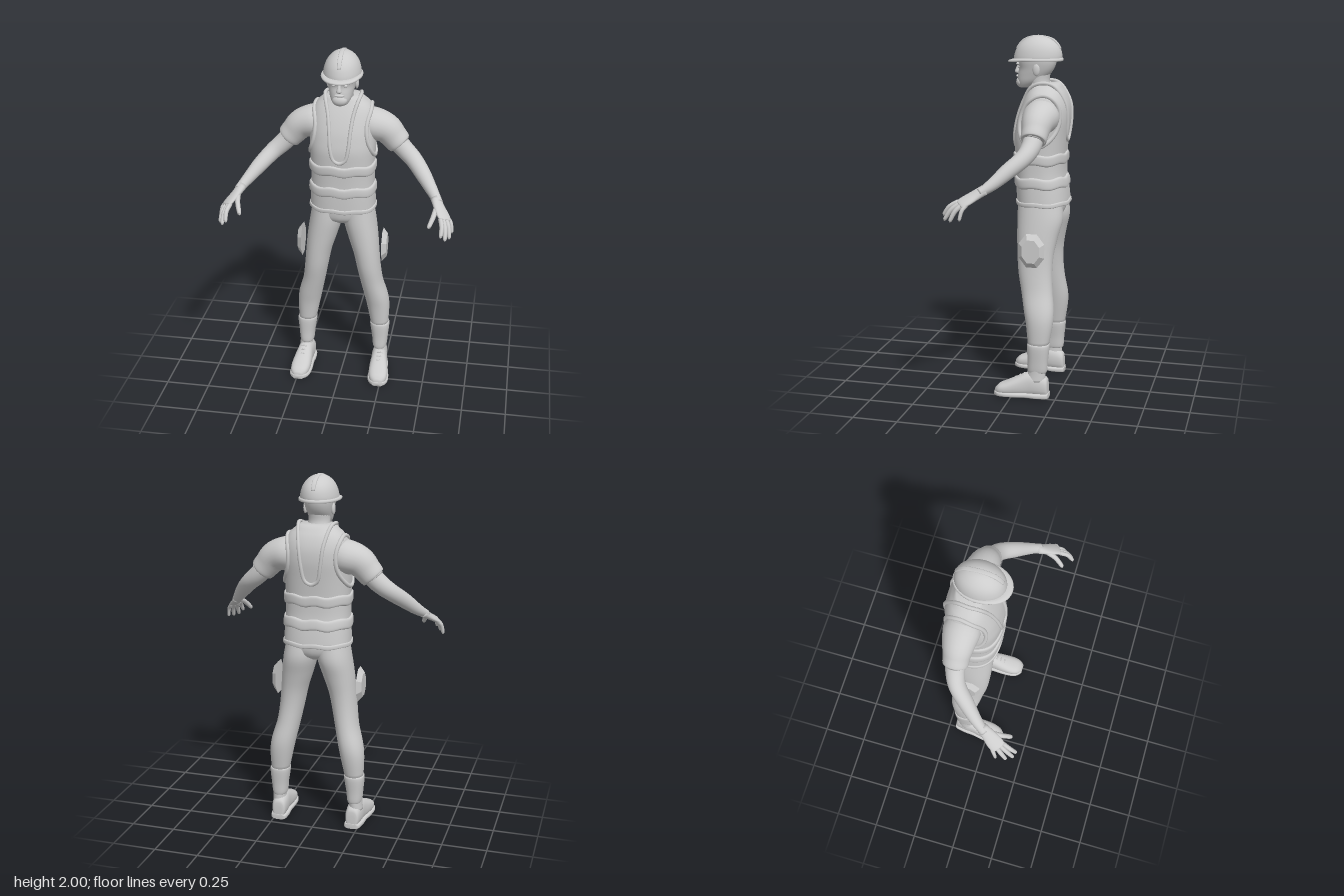
import * as THREE from 'three';

const V = (x, y, z) => new THREE.Vector3(x, y, z);
const UP = V(0, 1, 0), DOWN = V(0, -1, 0), FORWARD = V(0, 0, 1), X = V(1, 0, 0);
const pw = (c, n) => Math.sign(c) * Math.abs(c) ** (2 / n);

// Closed skin through sections [x, y, z, radiusA, radiusB]
function loft(secs, { axis, ref = X, n = 2, sides = 24, steps = 4 } = {}) {
  const path = new THREE.CatmullRomCurve3(secs.map(s => V(s[0], s[1], s[2])), false, 'catmullrom');
  const radii = new THREE.CatmullRomCurve3(secs.map(s => V(s[3], s[4], 0)), false, 'catmullrom');
  const rows = (secs.length - 1) * steps, pos = [], idx = [];
  for (let i = 0; i <= rows; i++) {
    const c = path.getPoint(i / rows), r = radii.getPoint(i / rows);
    const t = axis || path.getTangent(i / rows);
    const u = ref.clone().addScaledVector(t, -ref.dot(t)).normalize(), v = t.clone().cross(u);
    for (let j = 0; j < sides; j++) {
      const a = j / sides * Math.PI * 2;
      const p = c.clone().addScaledVector(u, r.x * pw(Math.cos(a), n)).addScaledVector(v, r.y * pw(Math.sin(a), n));
      pos.push(p.x, p.y, p.z);
      if (i < rows) {
        const k = i * sides, m = (j + 1) % sides;
        idx.push(k + j, k + m, k + sides + m, k + j, k + sides + m, k + sides + j);
      }
    }
  }
  // End caps
  const first = pos.length / 3, a = secs[0], b = secs[secs.length - 1], last = rows * sides;
  pos.push(a[0], a[1], a[2], b[0], b[1], b[2]);
  for (let j = 0; j < sides; j++) {
    const m = (j + 1) % sides;
    idx.push(first, m, j, first + 1, last + j, last + m);
  }
  const g = new THREE.BufferGeometry();
  g.setAttribute('position', new THREE.Float32BufferAttribute(pos, 3));
  g.setIndex(idx);
  g.computeVertexNormals();
  return g;
}
// Horizontal section from [y, inner x, outer x, front z, back z]
const slab = ([y, x0, x1, f, b]) => [(x0 + x1) / 2, y, (f + b) / 2, (x1 - x0) / 2, (f - b) / 2];
const mid = ([y, w, f, b]) => slab([y, -w, w, f, b]);
const tube = (pts, r, closed = false) =>
  new THREE.TubeGeometry(new THREE.CatmullRomCurve3(pts, closed), pts.length * 6, r, 8, closed);
const ball = (x, y, z, a, b, c) => new THREE.SphereGeometry(1, 20, 14).scale(a, b, c).translate(x, y, z);

function mirrored(geo) {
  const g = geo.clone().scale(-1, 1, 1), ix = g.index.array;
  for (let i = 0; i < ix.length; i += 3) [ix[i], ix[i + 1]] = [ix[i + 1], ix[i]];
  return g;
}

// Vest outline: y, half width, front z, back z
const VEST = [[1.08, .187, .017, -.272], [1.15, .184, .02, -.265], [1.25, .178, .022, -.25], [1.35, .179, .028, -.25],
  [1.45, .184, .034, -.26], [1.55, .185, .016, -.273], [1.62, .18, -.008, -.27], [1.68, .163, -.034, -.25],
  [1.72, .12, -.055, -.225], [1.742, .088, -.066, -.2]];
const VN = 2.4;
function vestLinear(y) {
  let i = 0;
  while (i < VEST.length - 2 && y > VEST[i + 1][0]) i++;
  const k = THREE.MathUtils.clamp((y - VEST[i][0]) / (VEST[i + 1][0] - VEST[i][0]), 0, 1);
  return [1, 2, 3].map(j => THREE.MathUtils.lerp(VEST[i][j], VEST[i + 1][j], k));
}
function vestAt(y) {
  const a = [-.02, 0, .02].map(d => vestLinear(y + d));
  return [0, 1, 2].map(j => (a[0][j] + a[1][j] + a[2][j]) / 3);
}
// Points on the vest, found from x (front or back) or from z (side)
function onVest(x, y, front) {
  const [w, f, b] = vestAt(y), k = Math.max(0, 1 - Math.abs(x / w) ** VN) ** (1 / VN);
  return V(x, y, (f + b) / 2 + (front ? 1 : -1) * (f - b) / 2 * k);
}
function onSide(y, z) {
  const [w, f, b] = vestAt(y), q = Math.min(1, Math.abs((z - (f + b) / 2) / ((f - b) / 2)));
  return V(w * (1 - q ** VN) ** (1 / VN), y, z);
}

export function createModel() {
  const model = new THREE.Group();
  const grey = new THREE.MeshStandardMaterial({ color: 0xcccccc });
  grey.name = 'plain grey';
  const add = (name, geo) => {
    const m = new THREE.Mesh(geo, grey);
    m.name = name;
    model.add(m);
  };
  const pair = (name, geo) => {
    add('left ' + name, geo);
    add('right ' + name, mirrored(geo));
  };

  // Vest body
  const body = [];
  for (let i = 0; i <= 33; i++) {
    const y = 1.08 + .02 * i;
    body.push(mid([y, ...vestAt(y)]));
  }
  add('vest', loft(body, { axis: UP, n: VN, sides: 56, steps: 1 }));

  // Puffy reflective bands and the hem
  const band = (y0, y1, puff, wave) => {
    const secs = [0, .12, .5, .88, 1].map((t, i) => {
      const y = y0 + (y1 - y0) * t, [w, f, b] = vestAt(y), p = [-.004, .8, 1, .8, -.004][i] * puff;
      return mid([y, w + p, f + p, b - p]);
    });
    const g = loft(secs, { axis: UP, n: VN, sides: 56, steps: 3 }), p = g.attributes.position;
    for (let i = 0; i < p.count; i++) {
      const a = Math.atan2(p.getZ(i) + .12, p.getX(i));
      p.setY(i, p.getY(i) + wave * Math.sin(7 * a + 1));
    }
    g.computeVertexNormals();
    return g;
  };
  add('upper band', band(1.305, 1.365, .011, .005));
  add('lower band', band(1.175, 1.235, .011, .005));
  add('hem', band(1.075, 1.1, .006, .003));

  // Neckline trim, front and back
  const half = [onVest(.032, 1.405, true), onVest(.05, 1.47, true), onVest(.058, 1.56, true), onVest(.07, 1.65, true),
    V(.09, 1.72, -.07), V(.1, 1.745, -.125), V(.09, 1.735, -.19), onVest(.068, 1.64, false), onVest(.055, 1.54, false), onVest(.035, 1.45, false)];
  const flip = half.map(p => V(-p.x, p.y, p.z)).reverse();
  add('neckline trim', tube([onVest(0, 1.388, true), ...half, onVest(0, 1.43, false), ...flip], .0105, true));

  // Armhole trim
  const hole = [];
  for (let i = 0; i < 20; i++) {
    const a = i / 20 * Math.PI * 2, y = 1.545 + .14 * Math.sin(a);
    hole.push(onSide(y, -.132 + .108 * Math.cos(a) - .02 * Math.sin(a)));
  }
  pair('armhole trim', tube(hole, .012, true));

  // Sleeves and arms
  pair('sleeve', loft([[.1, 1.575, -.145, .085, .09], [.165, 1.57, -.145, .1, .092], [.235, 1.548, -.142, .086, .084],
    [.28, 1.503, -.14, .073, .075], [.312, 1.466, -.138, .068, .068], [.314, 1.464, -.138, .05, .05]], { ref: FORWARD }));
  pair('arm', loft([[.28, 1.5, -.14, .055, .055], [.34, 1.435, -.132, .052, .052], [.4, 1.383, -.105, .048, .046],
    [.46, 1.325, -.04, .043, .042], [.51, 1.27, .02, .034, .034], [.54, 1.238, .062, .028, .027], [.556, 1.22, .09, .027, .024]]));

  // Hands
  const across = V(.5, -.1, -.86).normalize();
  pair('palm', loft([[.54, 1.236, .066, .03, .026], [.563, 1.208, .112, .037, .02], [.585, 1.186, .148, .043, .016],
    [.602, 1.168, .178, .041, .012], [.605, 1.164, .184, .03, .006]], { ref: across, sides: 20 }));
  const finger = (name, a, b, r) => {
    const m = a.clone().lerp(b, .5).add(V(.006, .01, .004)), e = a.clone().lerp(b, .93);
    pair(name, loft([[a, r], [m, r], [e, r * .8], [b, r * .2]].map(([p, q]) => [p.x, p.y, p.z, q, q]), { sides: 10 }));
  };
  const tips = [V(.59, 1.105, .275), V(.613, 1.083, .265), V(.634, 1.08, .23), V(.644, 1.09, .175)];
  tips.forEach((t, i) => finger('finger ' + (i + 1), V(.595, 1.173, .168).addScaledVector(across, (i - 1.5) * .022), t, .0125 - (i === 3) * .002));
  finger('thumb', V(.55, 1.212, .115), V(.52, 1.135, .232), .014);

  // Trousers
  add('hips', loft([[1.14, .165, .005, -.245], [1.07, .175, .002, -.25], [1.02, .13, -.01, -.235], [.99, .05, -.05, -.19]].map(mid), { axis: DOWN, n: 2.3 }));
  pair('trouser leg', loft([[1.1, .0, .172, -.002, -.245], [1.0, .004, .19, 0, -.255], [.9, .032, .204, -.004, -.232],
    [.8, .064, .213, -.01, -.213], [.7, .085, .222, -.02, -.208], [.6, .105, .236, -.04, -.215], [.5, .126, .264, -.06, -.228],
    [.42, .143, .274, -.076, -.225], [.3, .168, .27, -.09, -.205]].map(slab), { axis: DOWN, n: 2.15, sides: 28 }));
  pair('trouser cuff', loft([[.315, .172, .262, -.095, -.2], [.305, .162, .277, -.085, -.211], [.22, .175, .27, -.088, -.203],
    [.155, .182, .263, -.088, -.198], [.15, .195, .25, -.1, -.185]].map(slab), { axis: DOWN, n: 2.3 }));

  // Eight-sided pouch on the outer thigh
  const pouch = new THREE.CylinderGeometry(.68, 1, 1, 8).rotateY(Math.PI / 8).rotateZ(-Math.PI / 2)
    .scale(.026, .102, .078).translate(.246, .845, -.11).toNonIndexed();
  pouch.computeVertexNormals();
  pouch.setIndex([...Array(pouch.attributes.position.count).keys()]);
  pair('thigh pouch', pouch);

  // Shoes: heel to toe
  pair('ankle', loft([[.228, .18, -.143, .036, .045], [.228, .14, -.14, .037, .05], [.228, .1, -.135, .04, .055]], { axis: DOWN }));
  const shoe = [[-.205, .05, .022, .07], [-.195, .066, .038, .11], [-.14, .07, .046, .135], [-.09, .068, .047, .135],
    [-.03, .056, .054, .108], [.03, .043, .056, .078], [.07, .034, .046, .06], [.094, .026, .022, .036]];
  pair('shoe', loft(shoe.map(([z, , w, h]) => [.233 + z * .07, .008 + h / 2, z, w, h / 2]), { axis: FORWARD, n: 2.4 }));
  pair('sole', loft(shoe.map(([z, , w]) => [.233 + z * .07, z < -.1 ? .015 : .018, z * 1.02, w + .006, z < -.1 ? .015 : .014]), { axis: FORWARD, n: 4 }));
  for (let i = 0; i < 3; i++) {
    const y = .138 - i * .013, z = -.074 + i * .024;
    pair('lace ' + (i + 1), tube([V(.205, y - .012, z), V(.23, y, z + .004), V(.255, y - .012, z)], .004));
  }

  // Neck and head
  add('neck', loft([[1.66, .085, -.05, -.215], [1.71, .066, -.052, -.175], [1.75, .06, -.04, -.155], [1.8, .062, -.03, -.16]].map(mid), { axis: UP }));
  add('head', loft([[1.712, .018, .004, -.03], [1.722, .04, .016, -.06], [1.75, .058, .022, -.115], [1.785, .068, .02, -.155],
    [1.82, .076, .015, -.18], [1.86, .083, .025, -.193], [1.9, .083, .022, -.19]].map(mid), { axis: UP, n: 2.25, sides: 32 }));
  add('beard', ball(0, 1.744, .002, .042, .032, .03));
  add('moustache', ball(0, 1.776, .02, .028, .008, .012));
  add('nose', loft([[0, 1.845, .014, .007, .008], [0, 1.82, .022, .01, .012], [0, 1.8, .027, .015, .014], [0, 1.791, .022, .01, .008]], { axis: DOWN, sides: 12 }));
  pair('brow', ball(.033, 1.846, .012, .026, .008, .012));
  pair('eye', ball(.031, 1.828, .007, .012, .008, .009));
  pair('ear', ball(.078, 1.815, -.098, .011, .033, .02).rotateX(-.0));

  // Hard hat with brim and centre ridge
  add('helmet dome', loft([[1.862, .104, .046, -.222], [1.89, .102, .042, -.224], [1.925, .093, .03, -.216], [1.955, .077, .008, -.196],
    [1.98, .052, -.025, -.163], [1.993, .026, -.06, -.125], [1.996, .003, -.09, -.096]].map(mid), { axis: UP, sides: 36 }));
  const brim = loft([[1.86, .103, .05, -.222], [1.862, .112, .074, -.23], [1.872, .112, .074, -.23], [1.878, .103, .046, -.224]].map(mid), { axis: UP, n: 2.1, sides: 40, steps: 2 });
  const bp = brim.attributes.position;
  for (let i = 0; i < bp.count; i++) bp.setY(i, bp.getY(i) - .01 * Math.max(0, (bp.getZ(i) + .02) / .09));
  brim.computeVertexNormals();
  add('helmet brim', brim);
  add('helmet ridge', loft([[0, 1.925, .028, .01, .006], [0, 1.957, .005, .012, .007], [0, 1.981, -.028, .012, .007], [0, 1.992, -.09, .012, .008],
    [0, 1.981, -.16, .012, .007], [0, 1.957, -.194, .012, .007], [0, 1.925, -.215, .01, .006]], { n: 4, sides: 16 }));
  return model;
}
